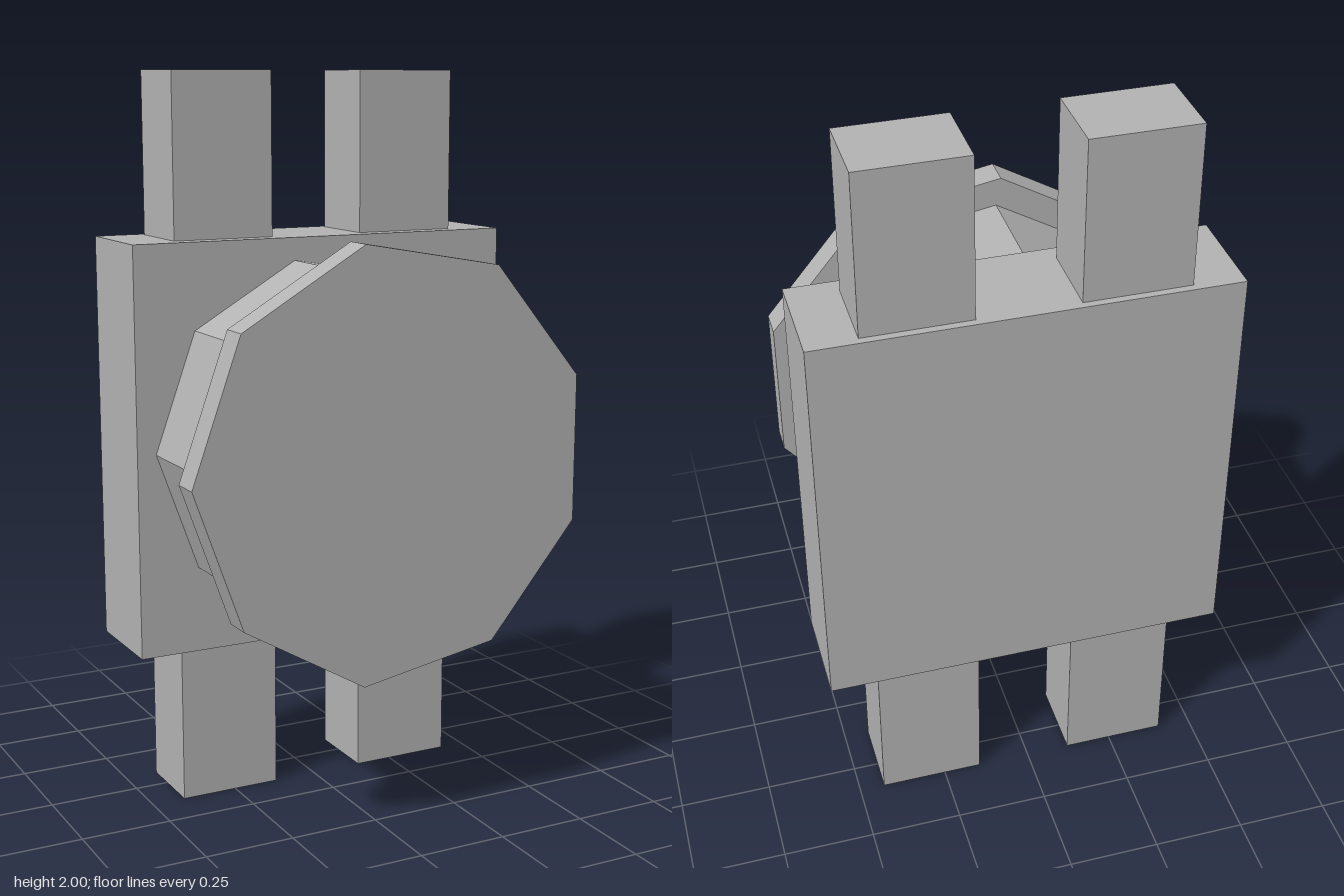
import * as THREE from 'three';

export function createModel() {
  const model = new THREE.Group();
  const grey = new THREE.MeshStandardMaterial({ color: 0xb2b2b2, flatShading: true });
  grey.name = 'plain grey';

  function add(name, geometry, x, y, z) {
    const mesh = new THREE.Mesh(geometry, grey);
    mesh.name = name;
    mesh.position.set(x, y, z);
    model.add(mesh);
    return mesh;
  }

  // Nine-sided prism lying along z, with one corner pointing to -x
  function nonagon(name, rx, ry, back, front) {
    const geometry = new THREE.CylinderGeometry(1, 1, front - back, 9, 1, false, -Math.PI / 2);
    geometry.rotateX(Math.PI / 2).scale(rx, ry, 1);
    add(name, geometry, 0.01, 1.003, (back + front) / 2);
  }

  // Square back plate
  add('backPlate', new THREE.BoxGeometry(1.104, 1.116, 0.279), 0.012, 1.002, -0.2155);

  // Two upright bars passing through the plate
  for (const [name, x] of [['rightBar', -0.264], ['leftBar', 0.288]]) {
    add(name, new THREE.BoxGeometry(0.285, 2, 0.213), x, 1, -0.228);
  }

  // Drum and its wider front cap
  nonagon('drum', 0.497, 0.503, -0.077, 0.27);
  nonagon('frontCap', 0.576, 0.584, 0.27, 0.352);

  return model;
}
